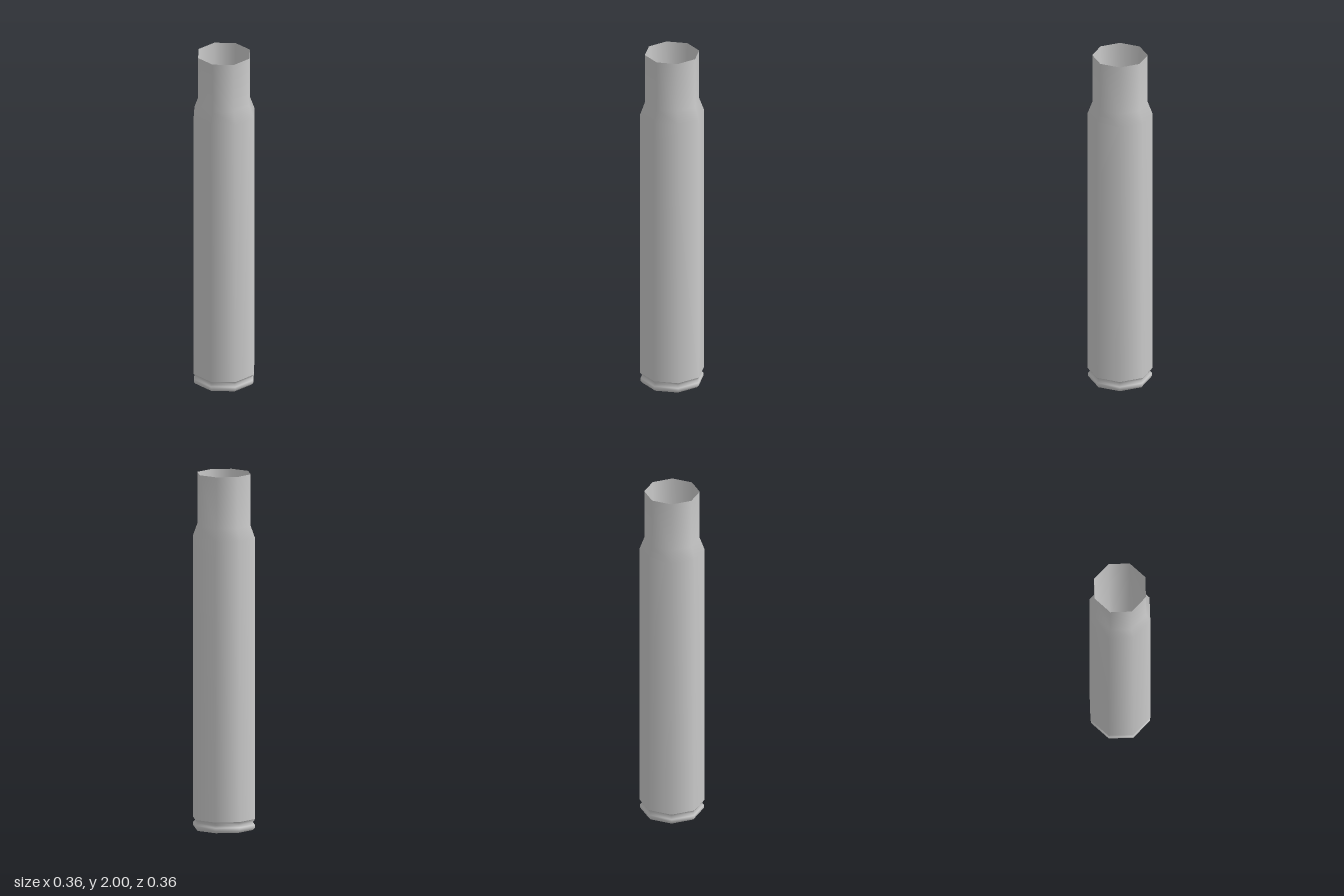
import * as THREE from 'three';

const SIDES = 8;

export function createModel() {
  const group = new THREE.Group();
  const material = new THREE.MeshStandardMaterial({ color: 0xcccccc });

  // Turns a [radius, height] profile into an eight-sided, smooth-shaded part
  const turned = (name, profile) => {
    const points = profile.map(([r, y]) => new THREE.Vector2(r, y));
    const mesh = new THREE.Mesh(new THREE.LatheGeometry(points, SIDES), material);
    mesh.name = name;
    group.add(mesh);
  };

  // Flat closed bottom
  turned('base', [[0, 0], [0.168, 0]]);

  // Rim flange and the groove above it
  turned('rimAndGroove', [
    [0.168, 0], [0.178, 0.012], [0.178, 0.03], [0.166, 0.042], [0.18, 0.062],
  ]);

  // Long body, shoulder and neck
  turned('casing', [
    [0.18, 0.062], [0.18, 1.64], [0.154, 1.71], [0.154, 2],
  ]);

  // Hollow inside, running from the mouth down to a closed floor
  turned('bore', [
    [0.154, 2], [0.151, 1.7], [0.115, 0.14], [0, 0.1],
  ]);

  return group;
}
